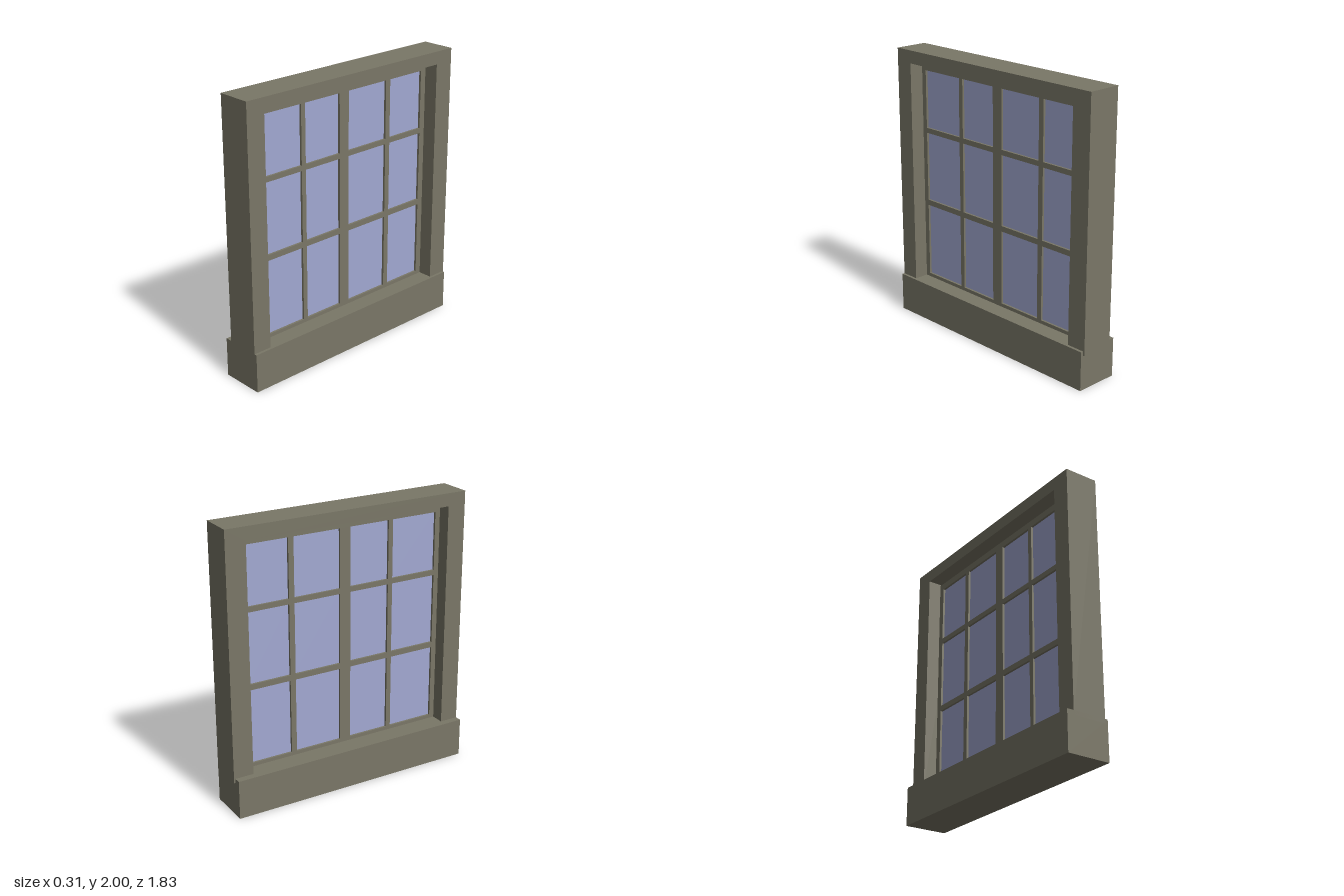
import * as THREE from 'three';

const wood = new THREE.MeshStandardMaterial({ color: 0x7a7767 });
const glass = new THREE.MeshStandardMaterial({ color: 0xa2a9d2 });

// Box given by its limits on each axis
function box(name, material, [x0, x1], [y0, y1], [z0, z1]) {
  const mesh = new THREE.Mesh(new THREE.BoxGeometry(x1 - x0, y1 - y0, z1 - z0), material);
  mesh.position.set((x0 + x1) / 2, (y0 + y1) / 2, (z0 + z1) / 2);
  mesh.name = name;
  return mesh;
}

// Outline drawn in the (z, y) plane, extruded between x0 and x1
function slab(name, shape, x0, x1) {
  const geometry = new THREE.ExtrudeGeometry(shape, { depth: x1 - x0, bevelEnabled: false });
  geometry.rotateY(-Math.PI / 2);
  geometry.translate(x1, 0, 0);
  const mesh = new THREE.Mesh(geometry, wood);
  mesh.name = name;
  return mesh;
}

const polygon = (points) => points.map(([z, y]) => new THREE.Vector2(z, y));
const rectangle = (z0, z1, y0, y1) => polygon([[z0, y0], [z1, y0], [z1, y1], [z0, y1]]);

export function createModel() {
  const group = new THREE.Group();
  group.name = 'window';

  // Two jambs joined by the head, open at the bottom
  const frame = new THREE.Shape(polygon([
    [-0.915, 0.25], [-0.77, 0.25], [-0.77, 1.908], [0.778, 1.908],
    [0.778, 0.25], [0.915, 0.25], [0.915, 2], [-0.915, 2],
  ]));
  group.add(slab('outerFrame', frame, -0.11, 0.135));

  // Sill, wider than the frame
  group.add(box('sill', wood, [-0.16, 0.155], [0, 0.28], [-0.905, 0.915]));

  // Sash with a grid of pane openings
  const columns = [[-0.725, -0.42], [-0.38, -0.03], [0.052, 0.355], [0.39, 0.74]];
  const rows = [[0.305, 0.845], [0.885, 1.393], [1.43, 1.85]];
  const sash = new THREE.Shape(rectangle(-0.77, 0.778, 0.26, 1.898));
  const panes = new THREE.Group();
  panes.name = 'panes';
  for (const [z0, z1] of columns) {
    for (const [y0, y1] of rows) {
      sash.holes.push(new THREE.Path(rectangle(z0, z1, y0, y1)));
      panes.add(box('pane', glass, [0.004, 0.014], [y0, y1], [z0, z1]));
    }
  }
  group.add(slab('sash', sash, -0.012, 0.03), panes);

  return group;
}
